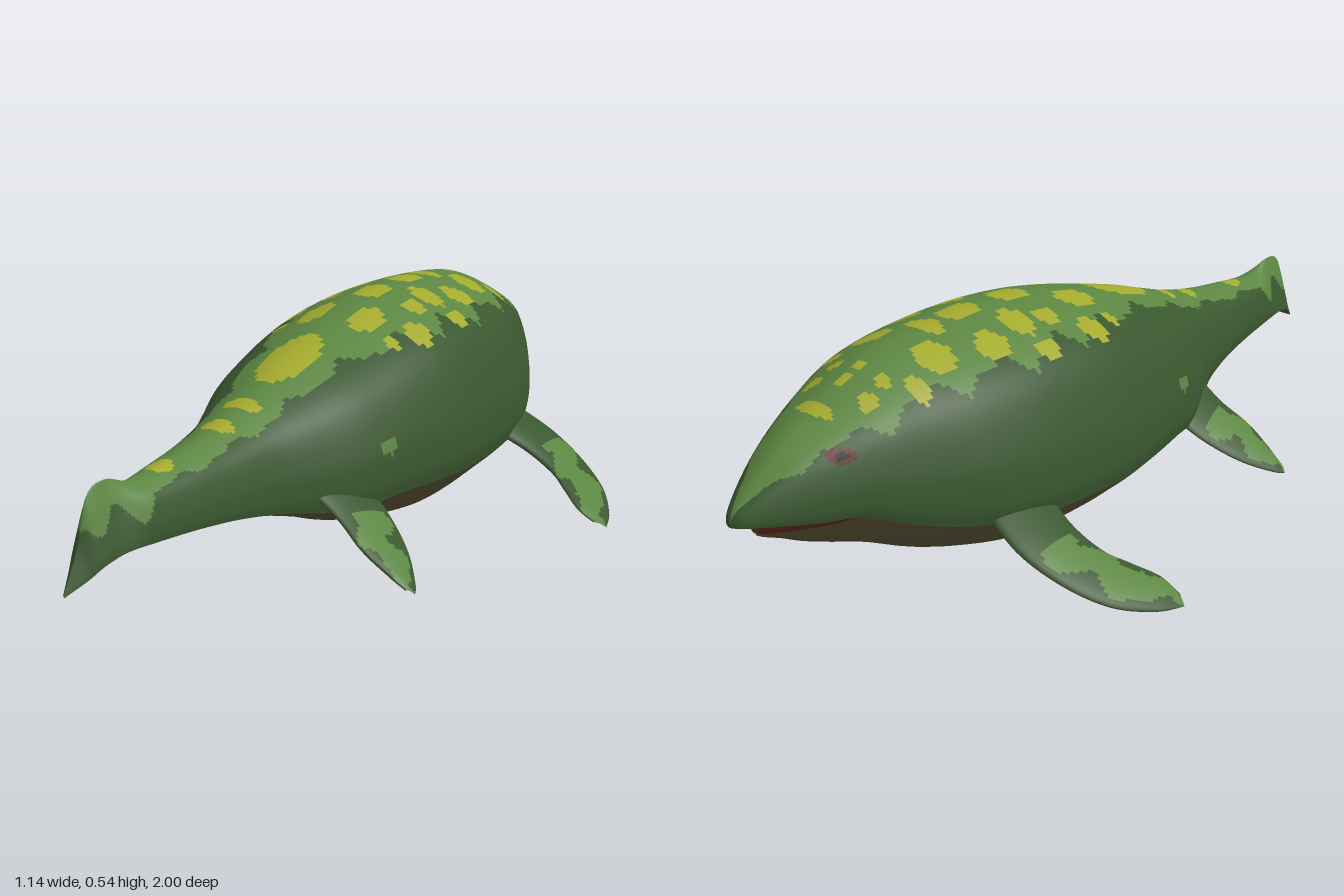
import * as THREE from 'three';

const paint = (name, color, side = THREE.FrontSide) => {
  const m = new THREE.MeshStandardMaterial({ color, side });
  m.name = name;
  return m;
};
const DARK = 0, LIGHT = 1, YELLOW = 2, BELLY = 3, MOUTH = 4, EYE = 5, PUPIL = 6;
const materials = [
  paint('darkGreen', 0x39572f), paint('lightGreen', 0x5b8541), paint('yellowSpot', 0xa3a92d),
  paint('bellyBrown', 0x5c5438), paint('mouthRed', 0x3d150e, THREE.DoubleSide),
  paint('eyeBrown', 0x5e2c1a), paint('pupilBlack', 0x17110d),
];

// Smooth surface through rows of points, each face coloured by a rule
function surface(name, rows, colorOf, flip = false) {
  const n = rows[0].length;
  const faces = materials.map(() => []);
  for (let i = 0; i < rows.length - 1; i++) {
    for (let j = 0; j < n - 1; j++) {
      const a = i * n + j, b = a + 1, c = a + n, d = c + 1;
      const mid = rows[i][j].clone().add(rows[i + 1][j + 1]).multiplyScalar(0.5);
      const list = faces[colorOf(mid, i / (rows.length - 1), (j + 0.5) / (n - 1))];
      if (flip) list.push(a, c, b, b, c, d);
      else list.push(a, b, c, b, d, c);
    }
  }
  const geo = new THREE.BufferGeometry().setFromPoints(rows.flat());
  geo.setIndex(faces.flat());
  let start = 0;
  faces.forEach((f, k) => {
    if (f.length) geo.addGroup(start, f.length, k);
    start += f.length;
  });
  geo.computeVertexNormals();
  const mesh = new THREE.Mesh(geo, materials);
  mesh.name = name;
  return mesh;
}

// Catmull-Rom through rows of numbers
function refine(table, steps) {
  const out = [];
  const at = i => table[THREE.MathUtils.clamp(i, 0, table.length - 1)];
  for (let i = 0; i < table.length - 1; i++) {
    for (let s = 0; s < steps; s++) {
      const t = s / steps;
      out.push(table[i].map((p1, k) => {
        const p0 = at(i - 1)[k], p2 = at(i + 1)[k], p3 = at(i + 2)[k];
        const v0 = (p2 - p0) / 2, v1 = (p3 - p1) / 2;
        return (2 * (p1 - p2) + v0 + v1) * t ** 3 + (3 * (p2 - p1) - 2 * v0 - v1) * t * t + v0 * t + p1;
      }));
    }
  }
  out.push(table[table.length - 1]);
  return out;
}

// Body stations from snout to tail: z, top, seam, bottom, half width
const STATIONS = [
  [-1, 0.282, 0.275, 0.238, 0.003], [-0.985, 0.308, 0.275, 0.23, 0.028], [-0.93, 0.355, 0.27, 0.213, 0.066],
  [-0.86, 0.405, 0.263, 0.188, 0.105], [-0.78, 0.445, 0.257, 0.165, 0.145], [-0.7, 0.48, 0.225, 0.138, 0.188],
  [-0.6, 0.515, 0.195, 0.092, 0.235], [-0.5, 0.53, 0.178, 0.058, 0.27], [-0.38, 0.538, 0.165, 0.025, 0.292],
  [-0.25, 0.54, 0.158, 0.012, 0.298], [-0.12, 0.528, 0.155, 0.012, 0.296], [0, 0.505, 0.158, 0.03, 0.28],
  [0.12, 0.475, 0.16, 0.057, 0.255], [0.22, 0.448, 0.155, 0.095, 0.228], [0.32, 0.415, 0.16, 0.13, 0.182],
  [0.42, 0.385, 0.18, 0.16, 0.135], [0.54, 0.36, 0.2, 0.187, 0.105], [0.66, 0.345, 0.213, 0.207, 0.085],
  [0.78, 0.336, 0.22, 0.215, 0.066], [0.865, 0.36, 0.222, 0.215, 0.052], [0.92, 0.343, 0.21, 0.203, 0.04],
  [0.955, 0.25, 0.19, 0.184, 0.025], [1, 0.17, 0.167, 0.165, 0.002],
];
const UPPER = [[0.97, 0], [1, 0.14], [0.95, 0.4], [0.75, 0.73], [0.42, 0.91], [0, 1]];
const LOWER = [[0.97, 0], [0.84, 0.25], [0.5, 0.77], [0, 1]];

const arch = (half, count) => {
  const mirrored = half.slice(0, -1).reverse().map(([x, h]) => [-x, h]);
  return new THREE.SplineCurve([...half, ...mirrored].map(p => new THREE.Vector2(...p))).getPoints(count);
};

// Back stripe half width along z, and the spots on it: x, z, radius x, radius z
const STRIPE = [[-1, 0], [-0.95, 0.025], [-0.8, 0.095], [-0.6, 0.15], [-0.4, 0.185], [-0.2, 0.185], [0, 0.15],
  [0.12, 0.115], [0.3, 0.085], [0.5, 0.06], [0.75, 0.045], [0.92, 0.03], [0.95, 0], [1.1, 0]];
const SPOTS = [
  [0, -0.77, 0.05, 0.015], [0.08, -0.7, 0.02, 0.02], [0, -0.69, 0.015, 0.018], [0, -0.645, 0.015, 0.015],
  [0.07, -0.645, 0.016, 0.016], [0.125, -0.605, 0.032, 0.02], [0.09, -0.52, 0.05, 0.042], [0, -0.45, 0.045, 0.028],
  [0, -0.35, 0.042, 0.05], [0.13, -0.385, 0.04, 0.04], [0.1, -0.275, 0.045, 0.035], [0.185, -0.27, 0.022, 0.03],
  [0, -0.19, 0.042, 0.048], [0.11, -0.19, 0.026, 0.03], [0.17, -0.1, 0.03, 0.038], [0.068, -0.04, 0.036, 0.058],
  [0.15, -0.01, 0.018, 0.02], [0, 0.19, 0.057, 0.11], [0, 0.385, 0.048, 0.02], [0, 0.48, 0.04, 0.025],
  [0, 0.69, 0.028, 0.03],
];
const inside = (u, v, [cu, cv, ru, rv]) => ((u - cu) / ru) ** 2 + ((v - cv) / rv) ** 2 < 1;

function stripeWidth(z) {
  const i = Math.max(1, STRIPE.findIndex(p => p[0] > z));
  const [[z0, w0], [z1, w1]] = [STRIPE[i - 1], STRIPE[i]];
  return w0 + (w1 - w0) * (z - z0) / (z1 - z0);
}

function backColor(p) {
  const x = Math.abs(p.x), { y, z } = p;
  if (z < -0.7 && inside(z, y, [-0.8, 0.383, 0.012, 0.008])) return PUPIL;
  if (z < -0.7 && inside(z, y, [-0.8, 0.383, 0.025, 0.015])) return EYE;
  if (y > 0.3 && SPOTS.some(s => inside(x, z, s))) return YELLOW;
  if (inside(z, y, [0.16, 0.275, 0.025, 0.018])) return LIGHT;
  if (z > 0.76 && z < 0.94) return y > 0.29 + 0.025 * Math.sin(z * 60) ? LIGHT : DARK;
  const ragged = 0.018 * Math.sin(z * 34) + 0.01 * Math.sin(z * 71 + 1);
  return x < stripeWidth(z) * (1 + ragged * 6) && y > 0.28 ? LIGHT : DARK;
}

function buildBody(group) {
  const rings = refine(STATIONS, 13);
  const up = arch(UPPER, 72), low = arch(LOWER, 32).reverse();
  // The lower jaw is shorter and drops away ahead of the hinge
  const jaw = z => Math.max(0, (-0.78 - z) / 0.22);
  const upperRows = rings.map(([z, top, seam, , w]) => {
    const k = THREE.MathUtils.smoothstep(z, 0.78, 0.87);
    return up.map(({ x, y: h }) => new THREE.Vector3(x * w * (1 - 0.75 * k * h), seam + (top - seam) * h, z));
  });
  const lowerRows = rings.map(([z, , seam, bottom, w]) => {
    const lip = seam - 0.034 * jaw(z);
    return low.map(({ x, y: d }) => new THREE.Vector3(x * w, lip + (bottom - lip) * d, z + 0.06 * jaw(z)));
  });
  group.add(surface('upperBody', upperRows, backColor));
  group.add(surface('bellyAndLowerJaw', lowerRows, () => BELLY));

  // Mouth lining: arched palate and hollowed floor
  const lining = (rows, bow) => rows.filter(r => r[0].z < -0.77).map(r => {
    const a = r[0], b = r[r.length - 1];
    return Array.from({ length: 9 }, (_, i) => {
      const p = a.clone().lerp(b, i / 8);
      p.y += bow * Math.sin(Math.PI * i / 8) * Math.min(1, Math.abs(a.x) / 0.1);
      return p;
    });
  });
  group.add(surface('palate', lining(upperRows, 0.025), () => MOUTH, true));
  group.add(surface('mouthFloor', lining(lowerRows, -0.012), () => MOUTH, true));
}

// Flipper sections from root to tip: leading x, z, trailing x, z, half thickness
const FRONT = [
  [0.2, -0.52, 0.22, -0.34, 0.024], [0.32, -0.54, 0.32, -0.37, 0.022], [0.42, -0.513, 0.4, -0.36, 0.019],
  [0.5, -0.455, 0.45, -0.325, 0.016], [0.55, -0.37, 0.5, -0.288, 0.011], [0.57, -0.3, 0.545, -0.283, 0.003],
];
const REAR = [
  [0.16, 0.17, 0.12, 0.35, 0.024], [0.25, 0.195, 0.21, 0.35, 0.02], [0.33, 0.25, 0.28, 0.372, 0.016],
  [0.385, 0.32, 0.34, 0.37, 0.01], [0.4, 0.352, 0.385, 0.364, 0.003],
];

function buildFlipper(name, sections, side, tipX, tipY, slope) {
  const rows = refine(sections, 8).map(([lx, lz, tx, tz, thick]) =>
    Array.from({ length: 33 }, (_, j) => {
      const a = j / 32 * Math.PI * 2, f = (1 - Math.cos(a)) / 2;
      const x = lx + (tx - lx) * f;
      const y = tipY + (tipX - x) * slope + thick * Math.sin(a);
      return new THREE.Vector3(side * x, Math.max(0, y), lz + (tz - lz) * f);
    }));
  const color = (p, u, v) => {
    if (v > 0.5) return BELLY;
    const wave = 0.05 * Math.sin(u * 17) + 0.03 * Math.sin(u * 31);
    return v > 0.14 + wave && v < 0.38 + wave && u > 0.25 ? LIGHT : DARK;
  };
  return surface(name, rows, color, side < 0);
}

export function createModel() {
  const group = new THREE.Group();
  group.name = 'seaReptile';
  buildBody(group);
  for (const [label, side] of [['left', 1], ['right', -1]]) {
    group.add(buildFlipper(label + 'FrontFlipper', FRONT, side, 0.57, 0.005, 0.57));
    group.add(buildFlipper(label + 'RearFlipper', REAR, side, 0.4, 0.028, 0.72));
  }
  return group;
}
